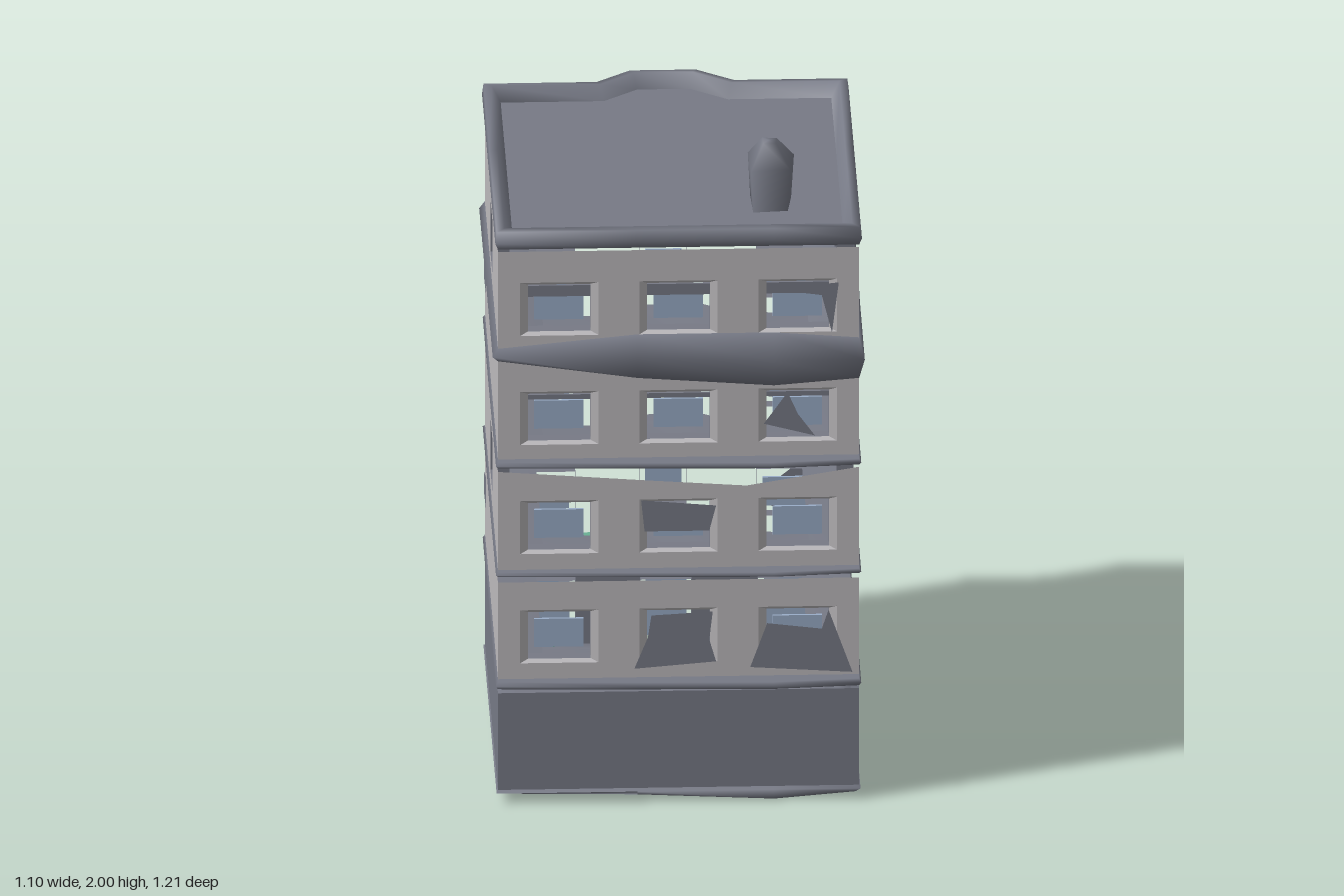
import * as THREE from 'three';

const mat = (name, color, side = THREE.FrontSide) => {
  const m = new THREE.MeshStandardMaterial({ color, side });
  m.name = name;
  return m;
};

export function createModel() {
  const plaster = mat('plaster', 0xbdbbbe);
  const slate = mat('slate', 0x777a86, THREE.DoubleSide);
  const green = mat('shopGreen', 0x69b093);
  const glass = mat('glass', 0x9aadc8);

  const model = new THREE.Group();
  model.name = 'apartmentBlock';
  const add = (parent, name, geo, material) => {
    const mesh = new THREE.Mesh(geo, material);
    mesh.name = name;
    parent.add(mesh);
    return mesh;
  };

  // Skin between closed rings of [x, y, z] points
  function loft(rings, flat = false) {
    const n = rings[0].length, index = [];
    for (let i = 0; i < rings.length - 1; i++) {
      for (let j = 0; j < n; j++) {
        const k = (j + 1) % n, a = i * n + j, b = i * n + k;
        index.push(a, b, a + n, b, b + n, a + n);
      }
    }
    let geo = new THREE.BufferGeometry();
    geo.setAttribute('position', new THREE.Float32BufferAttribute(rings.flat(2), 3));
    geo.setIndex(index);
    if (flat) geo = geo.toNonIndexed();
    geo.computeVertexNormals();
    return geo;
  }

  // Footprint offset by d, with a shallow bay at the back
  const footprint = (d, bay = 0.08) => [
    [-0.51 - d, 0.59 + d], [-0.1, 0.59 + d], [0.3, 0.59 + d], [0.55 + d, 0.59 + d],
    [0.55 + d, 0.2], [0.55 + d, 0], [0.55 + d, -0.48 - d],
    [0.22 + d * 0.4, -0.48 - d], [0.11 + d * 0.4, -0.48 - bay - d],
    [-0.08 - d * 0.4, -0.48 - bay - d], [-0.18 - d * 0.4, -0.48 - d],
    [-0.51 - d, -0.48 - d], [-0.51 - d, 0],
  ];
  const ring = (d, y, bay) =>
    footprint(d, bay).map(([x, z], i) => [x, Array.isArray(y) ? y[i] : y, z]);
  const polygon = (pts) => new THREE.Shape(pts.map(([x, y]) => new THREE.Vector2(x, y)));

  // Wall planes, each with its start and end in plan, seen left to right from outside
  const walls = {
    front: [-0.51, 0.59, 0.55, 0.59],
    left: [0.55, 0.59, 0.55, -0.48],
    backLeft: [0.55, -0.48, 0.22, -0.48],
    bayLeft: [0.22, -0.48, 0.11, -0.56],
    bayFront: [0.11, -0.56, -0.08, -0.56],
    bayRight: [-0.08, -0.56, -0.18, -0.48],
    backRight: [-0.18, -0.48, -0.51, -0.48],
    right: [-0.51, -0.48, -0.51, 0.59],
    shopBack: [0.55, -0.48, -0.51, -0.48],
  };
  // Group whose local x runs along the wall and local z points outwards
  const wallGroups = {};
  for (const [name, [x0, z0, x1, z1]] of Object.entries(walls)) {
    const g = wallGroups[name] = new THREE.Group();
    g.name = name + 'Side';
    g.position.set(x0, 0, z0);
    g.rotation.y = Math.atan2(z0 - z1, x1 - x0);
    g.userData.width = Math.hypot(x1 - x0, z1 - z0);
    model.add(g);
  }

  const rect = (cx, cy, w, h, z) => [
    [cx - w / 2, cy - h / 2, z], [cx + w / 2, cy - h / 2, z],
    [cx + w / 2, cy + h / 2, z], [cx - w / 2, cy + h / 2, z],
  ];
  function panel(side, material, y0, y1, holes = [], notch = []) {
    const w = wallGroups[side].userData.width;
    const shape = polygon([[0, y0], [w, y0], [w, y1], ...notch, [0, y1]]);
    for (const h of holes) shape.holes.push(polygon(rect(...h, 0).reverse()));
    add(wallGroups[side], 'wall', new THREE.ShapeGeometry(shape), material);
  }
  function plate(side, name, x, y, z, w, h, material) {
    add(wallGroups[side], name, new THREE.BoxGeometry(w, h, 0.008), material).position.set(x, y, z);
  }
  // Loose slate sheet hung on a wall
  function flap(side, pts, z = 0.006) {
    add(wallGroups[side], 'shutter', new THREE.ShapeGeometry(polygon(pts)), slate).position.z = z;
  }
  const reveal = (side, x, y, w, h, z0, z1) =>
    add(wallGroups[side], 'reveal', loft([rect(x, y, w, h, z0), rect(x, y, w, h, z1)], true), slate);
  // Framed window with a reveal and an optional lintel
  function framedWindow(side, x, y, w, lintel) {
    const iw = w * 0.8;
    add(wallGroups[side], 'windowFrame',
      loft([rect(x, y, w, 0.17, 0), rect(x, y, iw, 0.15, -0.01)], true), plaster);
    reveal(side, x, y, iw, 0.15, -0.01, -0.05);
    plate(side, 'windowPane', x, y - 0.002, -0.035, w * 0.63, 0.09, glass);
    if (lintel) plate(side, 'windowLintel', x, y + 0.075 - lintel / 2, -0.005, iw, lintel, slate);
  }
  // Narrow unframed window with its pane on the sill
  function sideWindow(side, x, y, w) {
    reveal(side, x, y, w, 0.17, 0, -0.05);
    plate(side, 'windowPane', x, y - 0.02, -0.035, 0.09, 0.125, glass);
  }

  // Four storeys of walls and windows
  const storeys = [[0.4, 0.71], [0.75, 1.065], [1.105, 1.42], [1.44, 1.77]];
  const windowY = [0.535, 0.885, 1.235, 1.585];
  const lintels = [0, 0, 0.015, 0.035];
  storeys.forEach(([y0, y1], f) => {
    const y = windowY[f];
    const openings = {
      front: [[0.18, 0.23], [0.53, 0.23], [0.88, 0.23]],
      left: f % 2 ? [[0.535, 0.16]] : [],
      right: f % 2 ? [[0.535, 0.16]] : [],
      backLeft: [[0.18, 0.21]], backRight: [[0.15, 0.21]], bayFront: [[0.095, 0.17]],
      bayLeft: [], bayRight: [],
    };
    const notches = f !== 1 ? {} : {
      front: [[0.73, 1.01], [0.45, 1.03]],
      left: [[0.72, 1.04], [0.64, 1.0], [0.59, 0.99], [0.34, 1.06]],
    };
    for (const [side, list] of Object.entries(openings)) {
      panel(side, plaster, y0, y1, list.map(([x, w]) => [x, y, w, 0.17]), notches[side]);
      for (const [x, w] of list) {
        if (side === 'left' || side === 'right') sideWindow(side, x, y, w);
        else framedWindow(side, x, y, w, side === 'front' ? lintels[f] : 0);
      }
    }
    // Bent shutters across the back windows
    flap('backLeft', [[0.09, y - 0.09], [0.27, y - 0.06], [0.2, y + 0.02], [0.12, y + 0.085]]);
  });

  // Bent shutters on the front and sides
  flap('front', [[0.4, 0.43], [0.64, 0.45], [0.62, 0.52], [0.63, 0.61], [0.45, 0.6], [0.44, 0.53]]);
  flap('front', [[0.74, 0.43], [1.04, 0.41], [0.97, 0.61], [0.95, 0.55], [0.79, 0.57]]);
  flap('front', [[0.43, 0.87], [0.62, 0.87], [0.64, 0.95], [0.42, 0.97]]);
  flap('front', [[0.78, 1.21], [0.93, 1.17], [0.88, 1.24], [0.85, 1.31]]);
  flap('front', [[0.98, 1.5], [1.0, 1.66], [0.81, 1.64], [0.95, 1.62]]);
  flap('left', [[0.61, 0.82], [0.63, 1.0], [0.45, 0.95], [0.59, 0.94]]);
  for (const y of [0.81, 1.5]) {
    flap('right', [[0.47, y - 0.07], [0.66, y - 0.05], [0.64, y + 0.05], [0.49, y]], 0.02);
  }

  // Ground floor with shopfront
  for (const side of ['front', 'left', 'right']) panel(side, slate, 0.045, 0.355);
  const shop = [[0.17, 0.18], [0.53, 0.15], [0.885, 0.18]];
  panel('shopBack', slate, 0.015, 0.355, shop.map(([x, w]) => [x, 0.145, w, 0.23]));
  shop.forEach(([x, w], i) => {
    reveal('shopBack', x, 0.145, w, 0.23, 0, -0.05);
    plate('shopBack', 'shopPane', x, 0.165, -0.03, w * 0.8, 0.18, glass);
    if (i !== 1) plate('shopBack', 'shopPanel', x, 0.055, -0.02, w, 0.07, green);
  });
  // Awning fascia bowing out around the bay
  const awning = new THREE.ExtrudeGeometry(polygon([
    [-0.48, 0.522], [-0.08, 0.55], [0.07, 0.57], [0.19, 0.505], [0.55, 0.5], [0.55, 0.51],
    [0.2, 0.517], [0.12, 0.58], [0.07, 0.608], [-0.06, 0.582], [-0.48, 0.533],
  ]), { depth: 0.085, bevelEnabled: false });
  awning.rotateX(-Math.PI / 2);
  add(model, 'awning', awning, green).position.y = 0.27;

  // Uneven string courses with deep ledges between the storeys
  function band(name, lo, hi, out) {
    const mid = lo.map((v, i) => (v + hi[i]) / 2);
    add(model, name, loft([ring(-0.14, mid), ring(0, lo), ring(out, mid), ring(0, hi), ring(-0.14, mid)]), slate);
  }
  for (const [y, h] of [[0.362, 0.022], [0.722, 0.014], [1.07, 0.018]]) {
    const lo = footprint(0).map((p, i) => y + 0.006 * Math.cos(i * 1.7));
    band('stringCourse', lo, lo.map((v) => v + h), 0.006);
  }
  band('upperBand',
    [1.42, 1.36, 1.33, 1.35, 1.4, 1.42, 1.4, 1.38, 1.36, 1.36, 1.38, 1.4, 1.41],
    [1.46, 1.5, 1.5, 1.48, 1.45, 1.51, 1.47, 1.48, 1.49, 1.49, 1.47, 1.46, 1.46], 0.016);

  // Plinth and underside
  const low = [0.03, 0.02, 0.0, 0.02, 0.015, 0.015, 0.02, 0.02, 0.02, 0.02, 0.02, 0.03, 0.03];
  add(model, 'plinth', loft([
    ring(-0.08, 0.035, 0), ring(-0.01, low, 0), ring(0.004, 0.035, 0), ring(-0.05, 0.04, 0),
  ]), slate);
  const flat = (d, bay) => new THREE.ShapeGeometry(polygon(footprint(d, bay).map(([x, z]) => [x, -z]))).rotateX(-Math.PI / 2);
  add(model, 'underside', flat(-0.075, 0), slate).position.y = 0.035;

  // Roof, cornice and chimney
  add(model, 'roof', flat(-0.04), slate).position.y = 1.795;
  add(model, 'cornice', loft([
    ring(-0.04, 1.785), ring(0, 1.778), ring(0.008, 1.8), ring(0.004, 1.835),
    ring(-0.02, 1.838), ring(-0.045, 1.795),
  ]), slate);
  const stack = [[0.24, 0.395], [0.355, 0.385], [0.37, 0.275], [0.235, 0.255]];
  const level = (y, s) => stack.map(([x, z]) => [0.295 + (x - 0.295) * s, y, 0.325 + (z - 0.325) * s]);
  add(model, 'chimney', loft([level(1.79, 0.88), level(1.93, 1), level(1.998, 0.32), level(2, 0.001)]), slate);

  return model;
}
